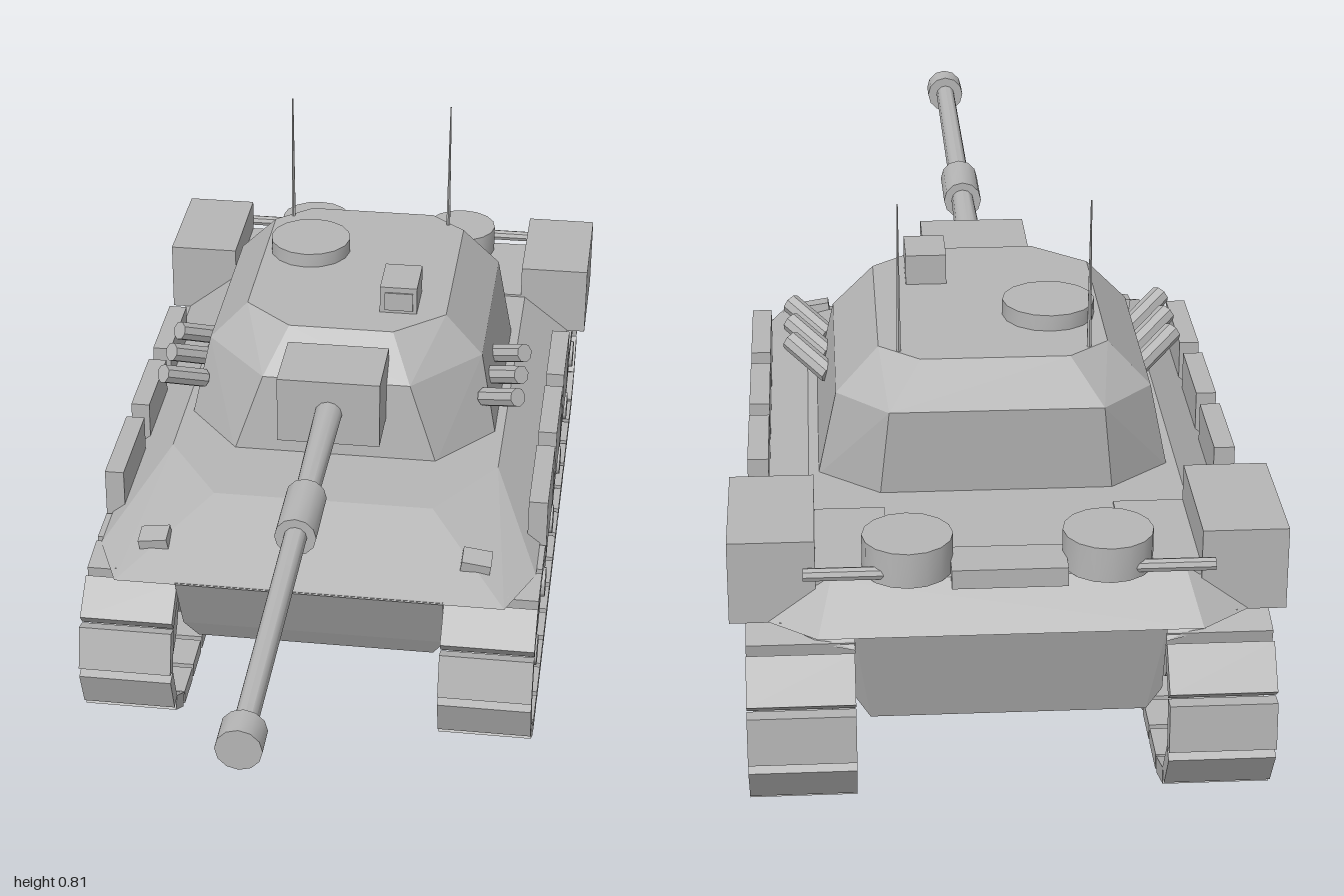
import * as THREE from 'three';
import { toCreasedNormals } from 'three/addons/utils/BufferGeometryUtils.js';
import { ConvexGeometry } from 'three/addons/geometries/ConvexGeometry.js';

export function createModel() {
  const model = new THREE.Group();
  const grey = new THREE.MeshStandardMaterial({ color: 0xb6b6b6 });
  grey.name = 'armour grey';

  const add = (name, geometry, x = 0, y = 0, z = 0) => {
    const mesh = new THREE.Mesh(geometry, grey);
    mesh.name = name;
    mesh.position.set(x, y, z);
    model.add(mesh);
    return mesh;
  };
  // Box given by its limits on each axis
  const box = (name, [x0, x1], [y0, y1], [z0, z1]) =>
    add(name, new THREE.BoxGeometry(Math.abs(x1 - x0), y1 - y0, Math.abs(z1 - z0)),
      (x0 + x1) / 2, (y0 + y1) / 2, (z0 + z1) / 2);
  const cyl = (rTop, rBottom, h, sides) =>
    toCreasedNormals(new THREE.CylinderGeometry(rTop, rBottom, h, sides), 0.6);
  // Convex solid from half points [x, y, z], mirrored in x
  const solid = (name, points) => add(name, new ConvexGeometry(
    points.flatMap(([x, y, z]) => [new THREE.Vector3(x, y, z), new THREE.Vector3(-x, y, z)])));

  // Hull
  solid('lowerHull', [
    [0.205, 0.13, 0.22], [0.227, 0.17, 0.243], [0.227, 0.295, 0.308],
    [0.205, 0.13, -0.89], [0.227, 0.17, -0.9], [0.227, 0.295, -0.94],
  ]);
  solid('sponsons', [
    [0.225, 0.265, 0.29], [0.27, 0.27, 0.28], [0.335, 0.297, 0.28],
    [0.225, 0.265, -0.93], [0.27, 0.27, -0.92], [0.335, 0.297, -0.9],
  ]);
  solid('upperHull', [
    [0.33, 0.293, 0.31], [0.375, 0.293, 0.2], [0.375, 0.293, -0.87], [0.28, 0.293, -0.945],
    [0.19, 0.36, 0.12], [0.29, 0.36, -0.03], [0.29, 0.36, -0.86], [0.26, 0.36, -0.89],
  ]);

  // Turret: base, shoulder and roof rings
  solid('turret', [
    [0.18, 0.355, -0.035], [0.275, 0.355, -0.15], [0.275, 0.355, -0.53], [0.18, 0.355, -0.61],
    [0.13, 0.5, -0.05], [0.245, 0.5, -0.18], [0.245, 0.5, -0.54], [0.165, 0.5, -0.622],
    [0.092, 0.57, -0.115], [0.178, 0.57, -0.19], [0.178, 0.57, -0.525], [0.115, 0.57, -0.58],
  ]);
  add('commanderHatch', cyl(0.073, 0.073, 0.027, 16), -0.095, 0.5825, -0.41);
  box('sight', [0.06, 0.126], [0.568, 0.62], [-0.275, -0.185]);
  box('sightWindow', [0.069, 0.119], [0.576, 0.61], [-0.187, -0.182]);

  // Gun
  box('mantlet', [-0.089, 0.089], [0.435, 0.556], [-0.08, 0.053]);
  const gunPart = (name, rFront, rBack, z0, z1) => {
    add(name, cyl(rFront, rBack, z1 - z0, 12), 0, 0.494, (z0 + z1) / 2).rotation.x = Math.PI / 2;
  };
  gunPart('barrelBase', 0.02, 0.024, 0.05, 0.34);
  gunPart('barrel', 0.018, 0.019, 0.42, 0.97);
  gunPart('barrelSleeve', 0.034, 0.034, 0.32, 0.443);
  gunPart('muzzle', 0.035, 0.035, 0.95, 1.0);

  // Engine deck between the rear drums
  box('deckCover', [-0.085, 0.085], [0.35, 0.38], [-0.91, -0.835]);

  // Closed track path drawn in the z-y plane
  const path = new THREE.Path();
  path.moveTo(-0.858, 0.0125);
  path.lineTo(0.23, 0.0125);
  path.absellipse(0.23, 0.1465, 0.13, 0.134, -Math.PI / 2, Math.PI / 2, false);
  path.lineTo(-0.858, 0.2805);
  path.absellipse(-0.858, 0.1465, 0.13, 0.134, Math.PI / 2, Math.PI * 1.5, false);
  const linkPoints = path.getSpacedPoints(35);
  const linkGeometry = new THREE.BoxGeometry(0.158, 0.025, 0.075);

  // Road wheel with recessed disc and raised hub
  const wheelGeometry = toCreasedNormals(new THREE.LatheGeometry([
    [0, -0.055], [0.103, -0.055], [0.103, 0.058], [0.072, 0.058], [0.066, 0.046],
    [0.028, 0.046], [0.026, 0.068], [0, 0.068],
  ].map(([r, y]) => new THREE.Vector2(r, y)), 20), 0.5);
  const launcherDirection = new THREE.Vector3();
  const up = new THREE.Vector3(0, 1, 0);

  for (const s of [1, -1]) {
    const side = s > 0 ? 'left' : 'right';
    for (let i = 0; i < 35; i++) {
      const a = linkPoints[i], b = linkPoints[i + 1];
      add(side + 'TrackLink', linkGeometry, s * 0.306, (a.y + b.y) / 2, (a.x + b.x) / 2)
        .rotation.x = -Math.atan2(b.y - a.y, b.x - a.x);
    }
    for (let i = 0; i < 6; i++) {
      add(side + 'RoadWheel', wheelGeometry, s * 0.316, 0.147, 0.211 - i * 0.209)
        .rotation.z = -s * Math.PI / 2;
    }
    // Skirt boxes and stowage
    for (const [z0, z1] of [[-0.09, 0.1], [-0.302, -0.135], [-0.512, -0.345]]) {
      box(side + 'SkirtBox', [s * 0.353, s * 0.386], [0.262, 0.375], [z0, z1]);
    }
    box(side + 'StowageBox', [s * 0.282, s * 0.409], [0.292, 0.422], [-0.888, -0.668]);
    box(side + 'DeckPanel', [s * 0.175, s * 0.285], [0.35, 0.364], [-0.885, -0.668]);
    // Rear drums with side pipes
    add(side + 'RearDrum', cyl(0.067, 0.067, 0.055, 16), s * 0.147, 0.387, -0.855);
    add(side + 'DrumPipe', cyl(0.01, 0.01, 0.12, 8), s * 0.24, 0.375, -0.9).rotation.z = Math.PI / 2;
    // Headlight lying on the glacis
    const lamp = add(side + 'Headlight', new THREE.BoxGeometry(0.05, 0.024, 0.04), s * 0.275, 0.325, 0.222);
    lamp.rotation.set(0.15, 0, -s * 0.15);
    // Smoke launchers on the turret cheek
    launcherDirection.set(s * 0.06, 0.035, 0.055).normalize();
    for (const z of [-0.122, -0.202, -0.282]) {
      add(side + 'SmokeLauncher', cyl(0.017, 0.017, 0.092, 8), s * 0.285, 0.449, z)
        .quaternion.setFromUnitVectors(up, launcherDirection);
    }
    add(side + 'Antenna', cyl(0.0012, 0.004, 0.25, 6), s * 0.147, 0.685, -0.545);
  }
  return model;
}
